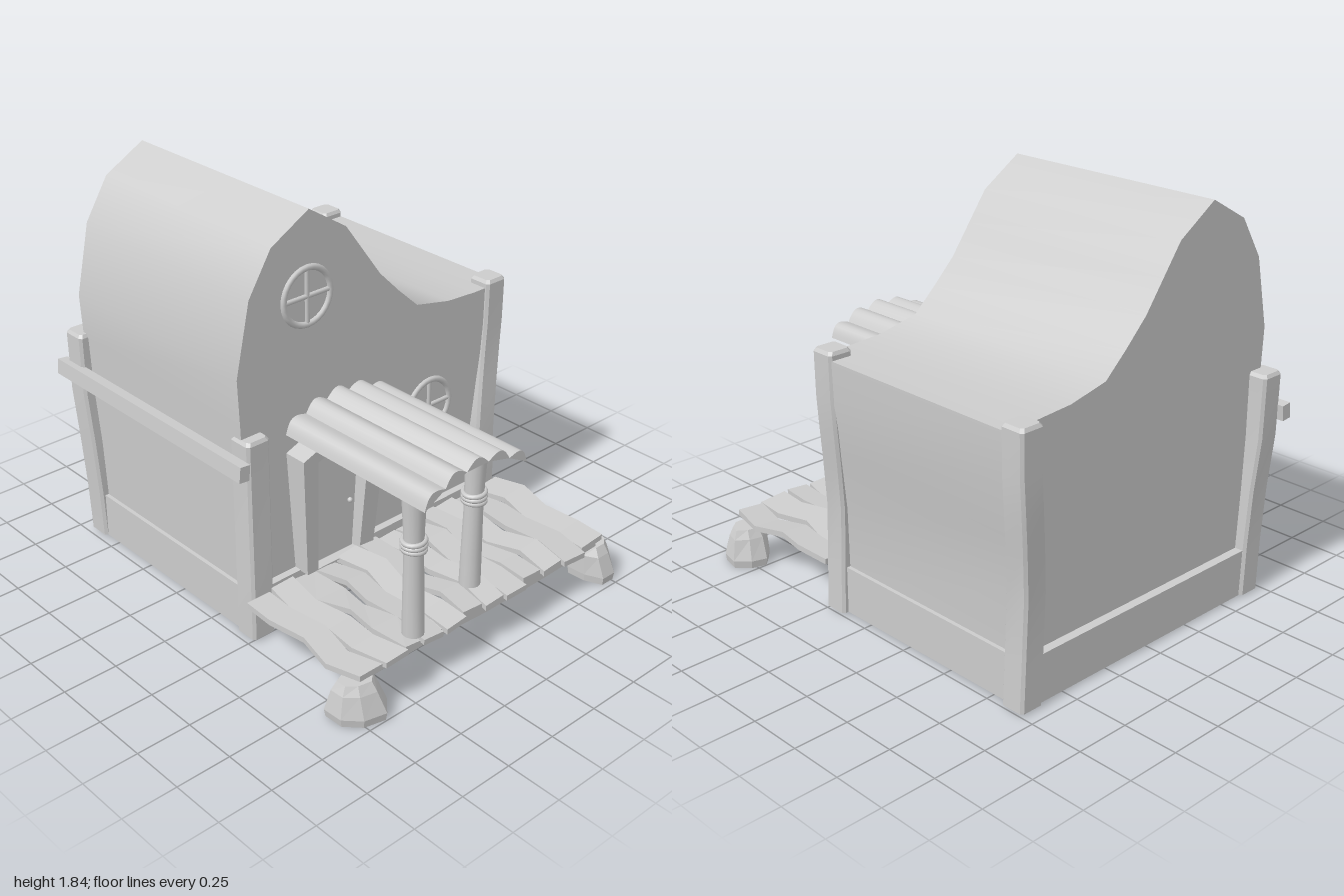
import * as THREE from 'three';
import { toCreasedNormals } from 'three/addons/utils/BufferGeometryUtils.js';

const grey = new THREE.MeshStandardMaterial({ color: 0xcccccc });
grey.name = 'plain grey';

// Skin a closed run of rings; each ring is counter-clockwise seen from the far end.
function loft(rings) {
  const pos = [], n = rings[0].length;
  const tri = (a, b, c) => pos.push(...a, ...b, ...c);
  for (let i = 0; i < rings.length - 1; i++) {
    for (let j = 0; j < n; j++) {
      const k = (j + 1) % n, r = rings[i], s = rings[i + 1];
      tri(r[j], r[k], s[k]);
      tri(r[j], s[k], s[j]);
    }
  }
  const first = rings[0], last = rings[rings.length - 1];
  for (let j = 1; j < n - 1; j++) {
    tri(first[0], first[j + 1], first[j]);
    tri(last[0], last[j], last[j + 1]);
  }
  const g = new THREE.BufferGeometry();
  g.setAttribute('position', new THREE.Float32BufferAttribute(pos, 3));
  g.computeVertexNormals();
  return g;
}

function add(parent, name, geometry, x = 0, y = 0, z = 0) {
  const m = new THREE.Mesh(geometry, grey);
  m.name = name;
  m.position.set(x, y, z);
  parent.add(m);
  return m;
}

function box(parent, name, x0, x1, y0, y1, z0, z1) {
  return add(parent, name, new THREE.BoxGeometry(x1 - x0, y1 - y0, z1 - z0),
    (x0 + x1) / 2, (y0 + y1) / 2, (z0 + z1) / 2);
}

function extrude(points, z0, z1, holes = []) {
  const toVec = (list) => list.map(([x, y]) => new THREE.Vector2(x, y));
  const shape = new THREE.Shape(toVec(points));
  for (const h of holes) shape.holes.push(new THREE.Path(toVec(h)));
  const g = new THREE.ExtrudeGeometry(shape, { depth: z1 - z0, bevelEnabled: false });
  return g.translate(0, 0, z0);
}

// Bent square post: sections are [y, centre x, centre z], with chamfered corners.
function post(parent, name, sections, w = 0.058) {
  const ring = ([y, x, z], s) => {
    const a = w * s, b = a - 0.012;
    return [[-b, a], [b, a], [a, b], [a, -b], [b, -a], [-b, -a], [-a, -b], [-a, b]]
      .map(([dx, dz]) => [x + dx, y, z + dz]);
  };
  const top = sections[sections.length - 1];
  const rings = sections.map((s) => ring(s, 1));
  rings.push(ring([top[0] + 0.015, top[1], top[2]], 0.84));
  add(parent, name, toCreasedNormals(loft(rings), 0.5));
}

// Round window: ring and two crossed bars
function roundWindow(parent, x, y, r) {
  const g = new THREE.Group();
  g.name = 'roundWindow';
  g.position.set(x, y, 0.2);
  add(g, 'windowRing', new THREE.TorusGeometry(r - 0.014, 0.014, 8, 28));
  for (const turn of [0, Math.PI / 2]) {
    add(g, 'windowBar', new THREE.CylinderGeometry(0.011, 0.011, 2 * r - 0.03, 8)).rotation.z = turn;
  }
  parent.add(g);
}

// Rough stone foot
function stone(parent, x, z, bottom, top, seed) {
  const ring = (y, rx, rz, ox) => Array.from({ length: 8 }, (_, i) => {
    const a = (i / 8) * Math.PI * 2 + 0.3;
    const k = 1 + 0.09 * Math.sin(i * 2.3 + seed);
    return [x + ox + Math.cos(a) * rx * k, y, z - Math.sin(a) * rz * k];
  });
  add(parent, 'footStone', loft([
    ring(0, bottom * 0.95, 0.115, 0), ring(0.035, bottom, 0.12, 0),
    ring(0.13, top, 0.085, -0.01), ring(0.17, top * 0.8, 0.06, -0.01),
  ]));
}

export function createModel() {
  const model = new THREE.Group();
  model.name = 'cottage';

  // House body with its crooked gable
  const profile = [
    [-0.69, 0.15], [0.7, 0.15], [0.71, 0.5], [0.75, 0.75], [0.785, 1.0], [0.79, 1.19],
    [0.62, 1.19], [0.45, 1.2], [0.26, 1.24], [0.15, 1.34], [0.04, 1.45], [-0.055, 1.58],
    [-0.15, 1.71], [-0.345, 1.835], [-0.54, 1.725], [-0.655, 1.54], [-0.725, 1.22], [-0.715, 1.0],
  ];
  add(model, 'houseBody', toCreasedNormals(extrude(profile, -0.89, 0.2), 0.55));
  box(model, 'foundation', -0.71, 0.72, 0.01, 0.225, -0.93, 0.235);

  // Corner posts
  for (const [name, z] of [['frontRightPost', 0.16], ['backRightPost', -0.925]]) {
    post(model, name, [[0.01, 0.69, z + 0.04], [0.22, 0.682, z + 0.04], [0.5, 0.677, z + 0.035],
      [0.72, 0.705, z + 0.015], [0.88, 0.727, z + 0.002], [1.02, 0.738, z], [1.21, 0.741, z]]);
  }
  post(model, 'frontLeftPost', [[0.01, -0.668, 0.205], [0.3, -0.668, 0.205], [0.6, -0.662, 0.195],
    [0.935, -0.664, 0.195]]);
  post(model, 'backLeftPost', [[0.01, -0.665, -0.885], [0.25, -0.675, -0.885], [0.5, -0.69, -0.89],
    [0.75, -0.7, -0.91], [1.025, -0.7, -0.915]]);
  box(model, 'sideRail', -0.795, -0.745, 0.82, 0.89, -1, 0.29).rotation.z = -0.1;

  roundWindow(model, -0.36, 1.47, 0.137);
  roundWindow(model, 0.345, 0.725, 0.14);

  // Leaning door frame, door and knob
  const frame = extrude(
    [[-0.44, 0.22], [-0.06, 0.22], [-0.03, 0.6], [-0.02, 0.91], [-0.14, 0.915], [-0.3, 0.87], [-0.48, 0.8]],
    0.19, 0.31,
    [[[-0.38, 0.225], [-0.4, 0.77], [-0.3, 0.8], [-0.1, 0.87], [-0.12, 0.6], [-0.14, 0.225]]]);
  const fp = frame.attributes.position;
  for (let i = 0; i < fp.count; i++) {
    if (fp.getZ(i) > 0.25) fp.setZ(i, 0.28 + 0.05 * (fp.getY(i) - 0.22));
  }
  frame.computeVertexNormals();
  add(model, 'doorFrame', frame);
  add(model, 'door', extrude([[-0.38, 0.23], [-0.15, 0.23], [-0.11, 0.86], [-0.3, 0.8], [-0.4, 0.77]], 0.19, 0.24));
  add(model, 'doorKnob', new THREE.SphereGeometry(0.012, 10, 8), -0.17, 0.47, 0.25);

  // Awning of rounded logs
  const joints = [[-0.48, 0.885], [-0.37, 0.945], [-0.255, 0.972], [-0.135, 0.972], [-0.015, 0.94], [0.088, 0.885]];
  for (let i = 0; i < 5; i++) {
    const [x0, y0] = joints[i], [x1, y1] = joints[i + 1];
    const len = Math.hypot(x1 - x0, y1 - y0), nx = -(y1 - y0) / len, ny = (x1 - x0) / len;
    const arc = Array.from({ length: 9 }, (_, k) => {
      const t = 1 - k / 8, h = 0.04 * Math.sin(Math.PI * t);
      return [x0 + (x1 - x0) * t + nx * h, y0 + (y1 - y0) * t + ny * h];
    });
    add(model, 'awningLog', toCreasedNormals(extrude(arc, 0.19, 1), 0.7));
  }

  // Porch columns with rope bindings
  for (const [x, z, lean] of [[-0.4, 0.875, -0.012], [0.022, 0.785, 0.008]]) {
    const g = new THREE.Group();
    g.name = 'porchColumn';
    g.position.set(x, 0, z);
    const outline = [[0, 0.23], [0.047, 0.23], [0.045, 0.38], [0.041, 0.6], [0.043, 0.72], [0.052, 0.91], [0, 0.925]]
      .map(([r, y]) => new THREE.Vector2(r, y));
    const shaft = new THREE.LatheGeometry(outline, 14);
    const p = shaft.attributes.position;
    for (let i = 0; i < p.count; i++) p.setX(i, p.getX(i) + lean * (p.getY(i) - 0.23) / 0.7);
    add(g, 'columnShaft', toCreasedNormals(shaft, 0.7));
    [0.635, 0.655, 0.675].forEach((y, i) => {
      const rope = add(g, 'ropeBinding', new THREE.TorusGeometry(0.046, 0.011, 8, 20), lean * 0.6, y, 0);
      rope.rotation.set(Math.PI / 2, (i - 1) * 0.08, 0);
    });
    model.add(g);
  }

  // Warped deck planks: edges share a wobble so they nest with narrow gaps
  const edges = [-0.765, -0.635, -0.505, -0.385, -0.265, -0.145, -0.025, 0.09, 0.22, 0.335, 0.455, 0.6, 0.745];
  const depth = [0, 0.25, 0.5, 0.75, 1];
  const wobble = [0, -0.022, 0.018, -0.015, 0.015];
  for (let i = 0; i < edges.length - 1; i++) {
    const flip = i < 3 ? 1 : -1;
    const wave = (e, k) => (e < 3 ? 1 : -1) * wobble[k];
    const zEnd = 0.935 + 0.015 * Math.sin(i * 2.1);
    const rings = depth.map((t, k) => {
      const z = 0.265 + (zEnd - 0.265) * t;
      const y = 0.208 + 0.016 * Math.sin(t * Math.PI * 2 + i * 1.7) * (t < 1 ? 1 : 0.5);
      const tilt = 0.006 * Math.sin(i * 2.7) * flip;
      const x0 = edges[i] + wave(i, k) + 0.005, x1 = edges[i + 1] + wave(i + 1, k) - 0.005;
      return [[x0, y - 0.012 - tilt, z], [x1, y - 0.012 + tilt, z],
        [x1, y + 0.014 + tilt, z], [x0, y + 0.014 - tilt, z]];
    });
    add(model, 'deckPlank', loft(rings));
  }

  // Front beam beneath the deck, resting on two stones
  const beam = [[-0.7, 0.165], [-0.35, 0.172], [0, 0.155], [0.35, 0.158], [0.7, 0.17]].map(([x, y]) =>
    [[x, y, 0.91], [x, y, 0.83], [x, 0.2, 0.83], [x, 0.2, 0.91]]);
  add(model, 'deckBeam', loft(beam));
  stone(model, -0.7, 0.875, 0.132, 0.1, 0.5);
  stone(model, 0.735, 0.865, 0.095, 0.085, 2);

  return model;
}
